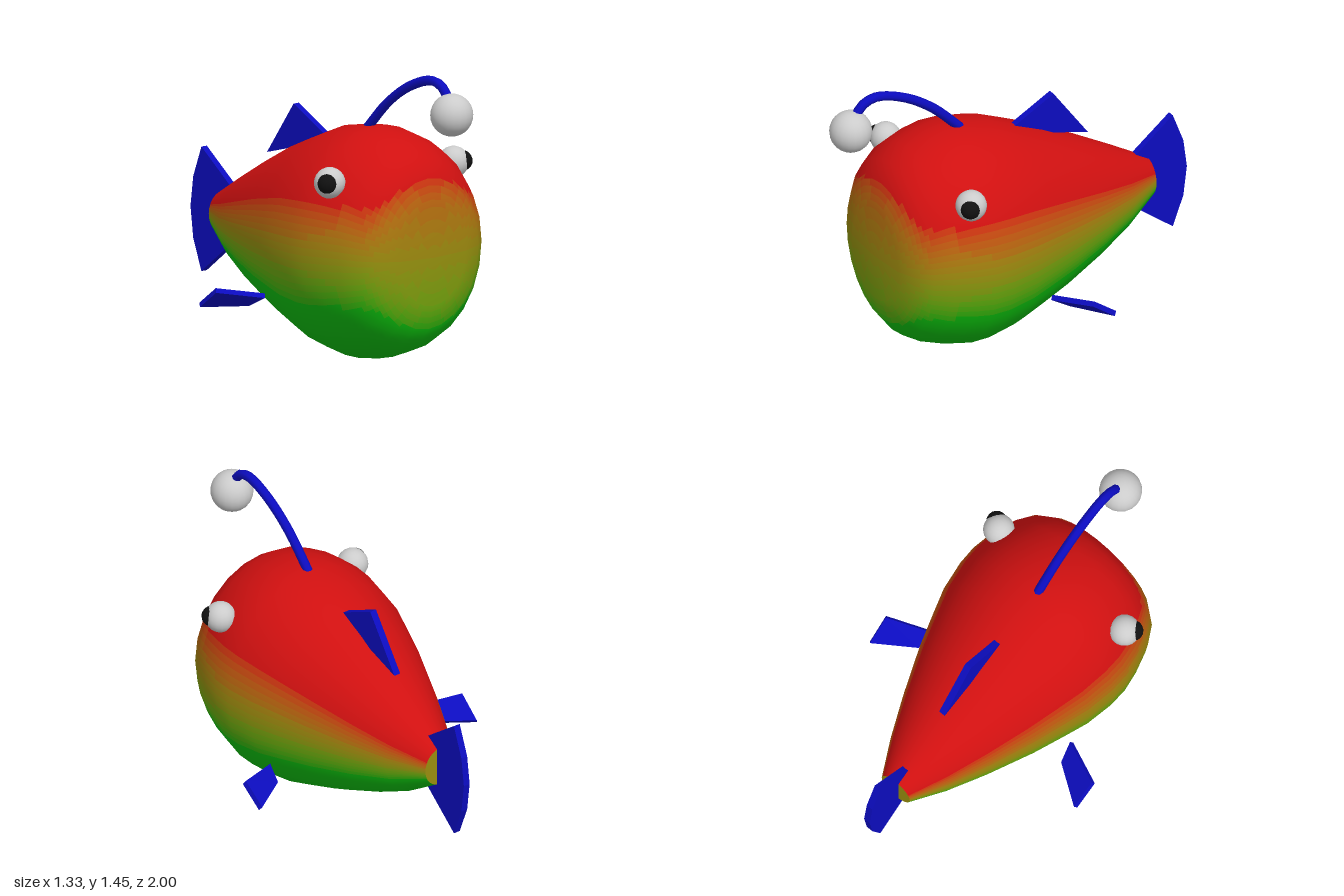
import * as THREE from 'three';
import { ConvexGeometry } from 'three/addons/geometries/ConvexGeometry.js';

const RED = new THREE.Color(0xd01010), GREEN = new THREE.Color(0x0cc00c);
const mat = (color) => new THREE.MeshStandardMaterial({ color });
const blue = mat(0x0c0cc0), grey = mat(0xcccccc), black = mat(0x111111);
const V = (x, y, z) => new THREE.Vector3(x, y, z);

// Body stations, nose to tail: z, top y, bottom y
const STATIONS = [
  [0.765, 0.56, 0.56], [0.754, 0.81, 0.32], [0.72, 0.945, 0.2], [0.66, 1.035, 0.12],
  [0.57, 1.1, 0.065], [0.46, 1.135, 0.025], [0.36, 1.15, 0.002], [0.26, 1.146, 0.002],
  [0.11, 1.118, 0.03], [-0.02, 1.064, 0.075], [-0.18, 0.995, 0.133],
  [-0.4, 0.88, 0.228], [-0.6, 0.768, 0.33], [-0.785, 0.66, 0.455],
];
const SIDES = 24, SUB = 4, LEVELS = 18, WIDTH = 0.87;

const rows = STATIONS.map(([z, top, bottom]) => ({ z, c: (top + bottom) / 2, r: (top - bottom) / 2 }));

function add(group, name, geometry, material) {
  const mesh = new THREE.Mesh(geometry, material);
  mesh.name = name;
  group.add(mesh);
  return mesh;
}

// Point and smooth normal at station i, side j
function bodyVertex(i, j) {
  const a = (j / SIDES) * Math.PI * 2, { z, c, r } = rows[i];
  const prev = rows[Math.max(i - 1, 0)], next = rows[Math.min(i + 1, rows.length - 1)];
  const dz = prev.z - next.z, dr = next.r - prev.r;
  const n = i === 0 ? V(0, 0, 1)
    : V((Math.cos(a) / WIDTH) * dz, Math.sin(a) * dz, dr).normalize();
  return { p: V(Math.cos(a) * r * WIDTH, c + Math.sin(a) * r, z), n };
}

// Green belly fading to red back, softer across the nose
function shade(p) {
  let k = rows.findIndex((row) => row.z <= p.z);
  k = Math.max(k, 1);
  const t = (rows[k - 1].z - p.z) / (rows[k - 1].z - rows[k].z);
  const c = THREE.MathUtils.lerp(rows[k - 1].c, rows[k].c, t);
  const r = p.z > 0.3 ? 0.574 : THREE.MathUtils.lerp(rows[k - 1].r, rows[k].r, t);
  const soft = 1 - 0.5 * THREE.MathUtils.smoothstep(p.z, 0.66, 0.76);
  return THREE.MathUtils.clamp(0.5 + ((p.y - c) / r) * 1.1 * soft, 0, 1);
}

// Loft the body in small cells, gathered into one mesh per colour step
function makeBody() {
  const body = new THREE.Group();
  body.name = 'body';
  const bands = Array.from({ length: LEVELS }, () => ({ pos: [], nor: [] }));
  for (let i = 0; i < rows.length - 1; i++) {
    for (let j = 0; j < SIDES; j++) {
      const a = bodyVertex(i, j), b = bodyVertex(i + 1, j);
      const c = bodyVertex(i + 1, j + 1), d = bodyVertex(i, j + 1);
      const mix = (key, u, v) => a[key].clone().lerp(b[key], u)
        .lerp(d[key].clone().lerp(c[key], u), v);
      for (let s = 0; s < SUB; s++) {
        for (let t = 0; t < SUB; t++) {
          const level = Math.round(shade(mix('p', (s + 0.5) / SUB, (t + 0.5) / SUB)) * (LEVELS - 1));
          for (const [du, dv] of [[0, 0], [1, 0], [1, 1], [0, 0], [1, 1], [0, 1]]) {
            const u = (s + du) / SUB, v = (t + dv) / SUB;
            bands[level].pos.push(...mix('p', u, v).toArray());
            bands[level].nor.push(...mix('n', u, v).normalize().toArray());
          }
        }
      }
    }
  }
  bands.forEach(({ pos, nor }, level) => {
    if (!pos.length) return;
    const g = new THREE.BufferGeometry();
    g.setAttribute('position', new THREE.Float32BufferAttribute(pos, 3));
    g.setAttribute('normal', new THREE.Float32BufferAttribute(nor, 3));
    add(body, 'bodyBand', g, mat(GREEN.clone().lerp(RED, level / (LEVELS - 1))));
  });
  // Flat end at the tail root
  const end = rows[rows.length - 1];
  const cap = add(body, 'tailRoot', new THREE.CircleGeometry(end.r, SIDES), mat(GREEN.clone().lerp(RED, 0.5)));
  cap.scale.x = WIDTH;
  cap.rotation.y = Math.PI;
  cap.position.set(0, end.c, end.z);
  return body;
}

// Upright fin on the centre line from [z, y] corners
function uprightFin(corners, thickness) {
  const shape = new THREE.Shape(corners.map(([z, y]) => new THREE.Vector2(-z, y)));
  return new THREE.ExtrudeGeometry(shape, { depth: thickness, bevelEnabled: false })
    .translate(0, 0, -thickness / 2).rotateY(Math.PI / 2);
}

// Slanted side fin: a thin plate
function sideFin(side) {
  const corners = [V(0.435, 0.318, 0.018), V(0.66, 0.358, -0.085), V(0.655, 0.268, -0.21), V(0.458, 0.268, -0.075)];
  const normal = corners[1].clone().sub(corners[0])
    .cross(corners[3].clone().sub(corners[0])).normalize().multiplyScalar(0.013);
  const points = corners.flatMap((p) => [p.clone().add(normal), p.clone().sub(normal)]);
  return new ConvexGeometry(points.map((p) => V(p.x * side, p.y, p.z)));
}

export function createModel() {
  const model = new THREE.Group();
  model.name = 'anglerFish';
  model.add(makeBody());

  // Fins on the centre line
  add(model, 'tailFin', uprightFin([[-0.706, 0.695], [-0.92, 0.86], [-0.98, 0.705], [-1, 0.556],
    [-0.98, 0.4], [-0.92, 0.245], [-0.706, 0.41]], 0.035), blue);
  add(model, 'dorsalFin', uprightFin([[-0.02, 1.055], [-0.245, 1.173], [-0.44, 0.905], [-0.24, 0.96]], 0.035), blue);

  // Lure
  const stalk = new THREE.CatmullRomCurve3([V(0, 1.12, 0.265), V(0, 1.283, 0.433), V(0, 1.385, 0.594),
    V(0, 1.432, 0.75), V(0, 1.41, 0.825), V(0, 1.355, 0.87)]);
  add(model, 'lureStalk', new THREE.TubeGeometry(stalk, 20, 0.024, 8), blue);
  add(model, 'lureBall', new THREE.SphereGeometry(0.105, 20, 14), grey).position.set(0, 1.284, 0.893);

  // Mirrored side fins and eyes
  for (const [name, side] of [['left', 1], ['right', -1]]) {
    add(model, name + 'SideFin', sideFin(side), blue);
    add(model, name + 'Eye', new THREE.SphereGeometry(0.077, 18, 12), grey).position.set(side * 0.4, 0.936, 0.453);
    add(model, name + 'Pupil', new THREE.SphereGeometry(0.051, 16, 12), black).position.set(side * 0.434, 0.94, 0.477);
  }
  return model;
}
